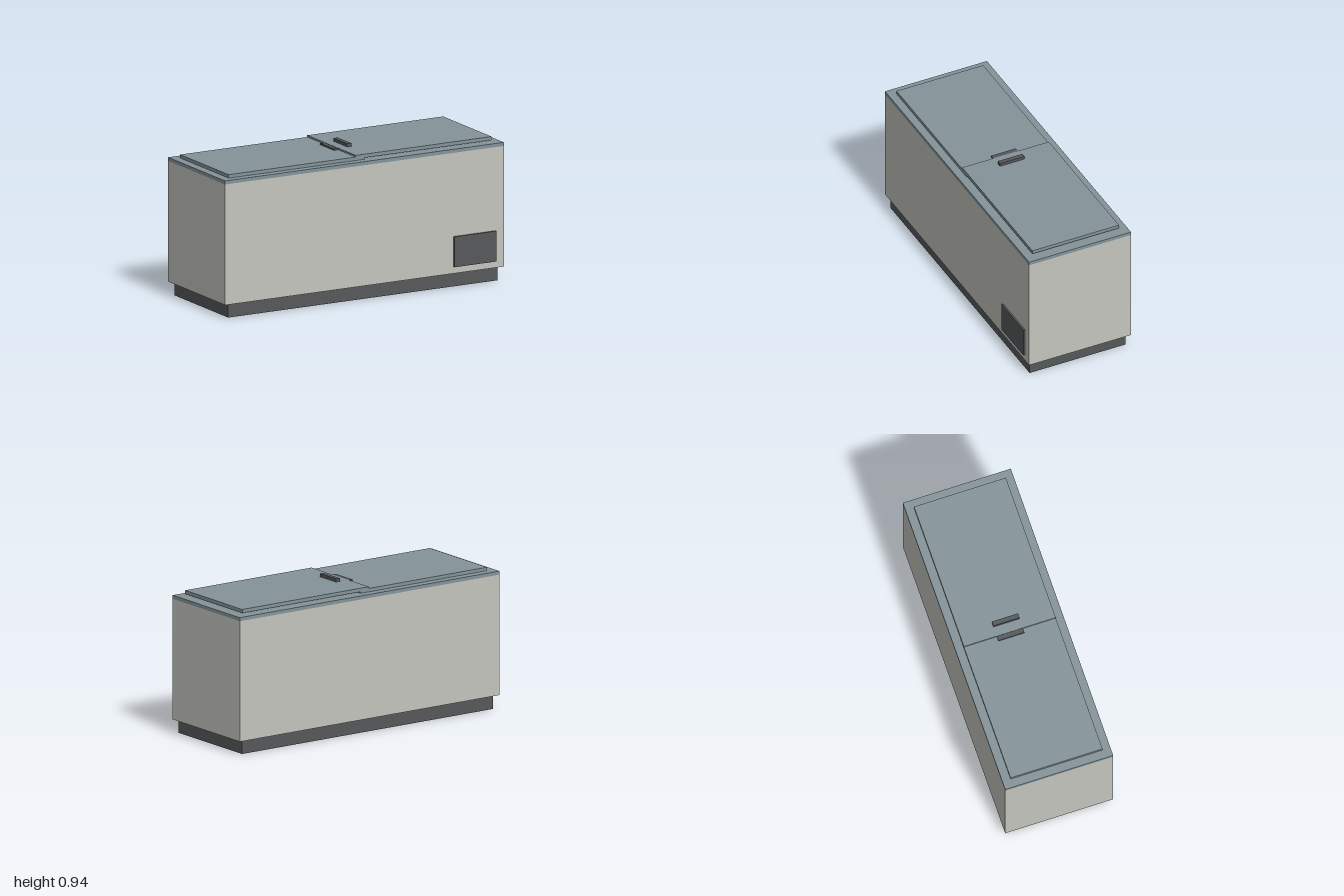
import * as THREE from 'three';

const material = (name, color) => {
  const m = new THREE.MeshStandardMaterial({ color });
  m.name = name;
  return m;
};

export function createModel() {
  const group = new THREE.Group();
  group.name = 'chestFreezer';
  const shell = material('warm grey', 0xc4c5be);
  const steel = material('blue grey', 0x84949a);
  const dark = material('dark grey', 0x55585a);

  // Box given by its extent along each axis
  const box = (name, mat, [x0, x1], [y0, y1], [z0, z1]) => {
    const mesh = new THREE.Mesh(new THREE.BoxGeometry(x1 - x0, y1 - y0, z1 - z0), mat);
    mesh.position.set((x0 + x1) / 2, (y0 + y1) / 2, (z0 + z1) / 2);
    mesh.name = name;
    group.add(mesh);
  };

  // Cabinet on a recessed plinth, with a rim on top
  box('plinth', dark, [-0.967, 0.967], [0, 0.088], [-0.337, 0.329]);
  box('cabinet', shell, [-1, 1], [0.088, 0.86], [-0.359, 0.349]);
  box('rim', steel, [-1, 1], [0.86, 0.883], [-0.359, 0.349]);

  // Sliding lids: the +x lid runs above and overlaps the other
  const lidDepth = [-0.305, 0.297];
  box('lowerLid', steel, [-0.945, 0.03], [0.883, 0.905], lidDepth);
  box('upperLid', steel, [-0.033, 0.942], [0.893, 0.916], lidDepth);

  // Lid handles
  const handleDepth = [-0.09, 0.081];
  box('lowerHandle', dark, [-0.064, -0.034], [0.905, 0.915], handleDepth);
  box('upperHandle', dark, [0.031, 0.061], [0.916, 0.936], handleDepth);

  // Compressor vent cover
  box('ventCover', dark, [0.64, 0.942], [0.13, 0.325], [0.349, 0.36]);

  return group;
}
